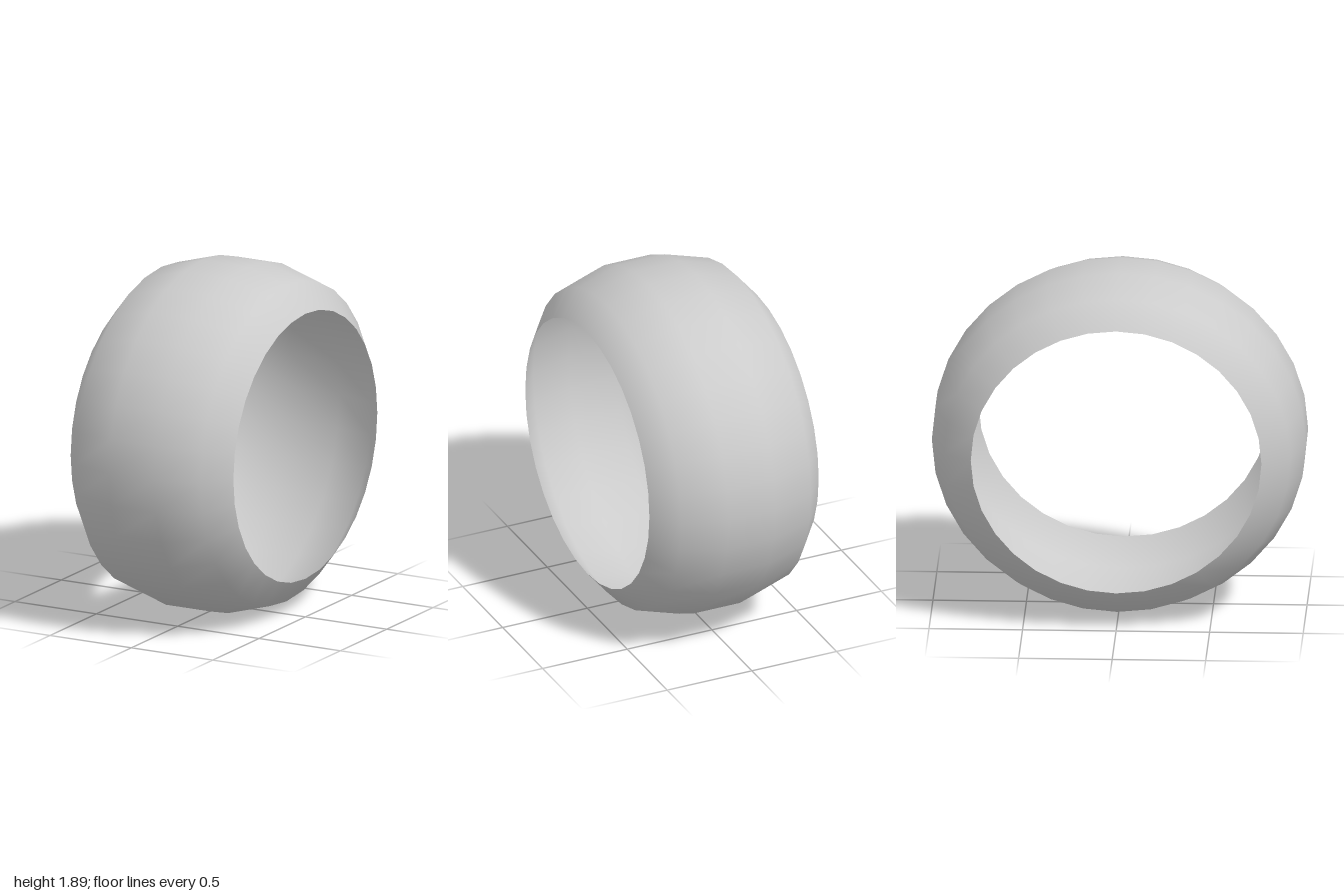
import * as THREE from 'three';

export function createModel() {
  const group = new THREE.Group();
  group.name = 'tyre';
  const material = new THREE.MeshStandardMaterial({ color: 0xcccccc, side: THREE.DoubleSide });

  // Cross-section of the open shell: radius, position along the axle
  const half = [[0.777, 0.5], [0.926, 0.383], [1, 0.138]];
  const profile = [
    ...half.map(([r, a]) => new THREE.Vector2(r, -a)),
    ...half.slice().reverse().map(([r, a]) => new THREE.Vector2(r, a)),
  ];

  // Lathe around the x axis, slightly flattened in height
  const height = 1.89;
  const geometry = new THREE.LatheGeometry(profile, 32);
  geometry.rotateZ(-Math.PI / 2);
  geometry.scale(1, height / 2, 1);
  geometry.translate(0, height / 2, 0);

  const shell = new THREE.Mesh(geometry, material);
  shell.name = 'tyreShell';
  group.add(shell);
  return group;
}
